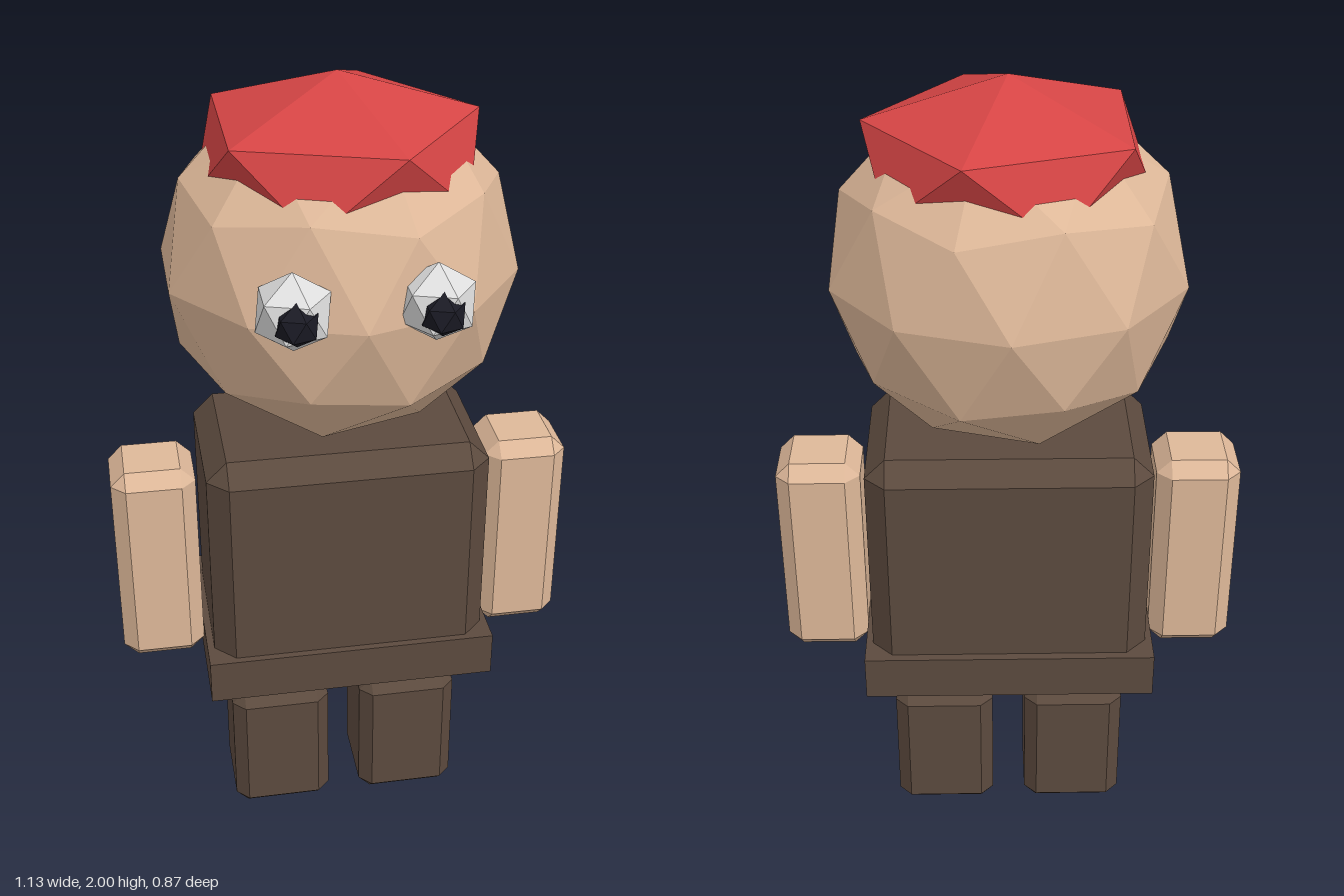
import * as THREE from 'three';
import { ConvexGeometry } from 'three/addons/geometries/ConvexGeometry.js';

const mat = (name, color) => {
  const m = new THREE.MeshStandardMaterial({ color, flatShading: true });
  m.name = name;
  return m;
};

// Box with single chamfers on all edges, centred on the origin
function chamferBox(w, h, d, c) {
  const points = [];
  const half = [w / 2, h / 2, d / 2];
  for (const sx of [-1, 1]) for (const sy of [-1, 1]) for (const sz of [-1, 1]) {
    for (let axis = 0; axis < 3; axis++) {
      const p = half.map((v, i) => (i === axis ? v : v - c));
      points.push(new THREE.Vector3(sx * p[0], sy * p[1], sz * p[2]));
    }
  }
  return new ConvexGeometry(points);
}

// Faceted ball with a corner at each pole and an upper-ring corner toward +x
function facetedBall(rx, ry, rz, detail = 0) {
  return new THREE.IcosahedronGeometry(1, detail)
    .rotateX(-Math.atan((1 + Math.sqrt(5)) / 2))
    .rotateY(Math.PI / 2)
    .scale(rx, ry, rz);
}

export function createModel() {
  const model = new THREE.Group();
  model.name = 'figure';
  const skin = mat('skin', 0xdeb899);
  const brown = mat('brown cloth', 0x5c4a3e);
  const red = mat('red cap', 0xd64545);
  const white = mat('eye white', 0xdedede);
  const black = mat('pupil black', 0x1a1a24);

  const add = (name, geometry, material, x, y, z) => {
    const mesh = new THREE.Mesh(geometry, material);
    mesh.name = name;
    mesh.position.set(x, y, z);
    model.add(mesh);
  };

  // Torso and belt
  add('torso', chamferBox(0.685, 0.68, 0.44, 0.05), brown, 0, 0.795, -0.027);
  add('belt', new THREE.BoxGeometry(0.72, 0.115, 0.48), brown, 0, 0.537, -0.029);

  // Head with a squashed cap sunk into its crown
  add('head', facetedBall(0.42, 0.418, 0.406, 1), skin, 0, 1.555, -0.033);
  add('cap', facetedBall(0.36, 0.181, 0.36), red, 0, 1.819, -0.03);

  // Mirrored limbs and eyes
  const arm = chamferBox(0.205, 0.545, 0.205, 0.035);
  const leg = chamferBox(0.255, 0.378, 0.255, 0.032);
  const eye = facetedBall(0.091, 0.091, 0.091);
  const pupil = facetedBall(0.051, 0.051, 0.051);
  for (const [side, s] of [['left', 1], ['right', -1]]) {
    add(side + 'Arm', arm, skin, s * 0.463, 0.793, -0.03);
    add(side + 'Leg', leg, brown, s * 0.17, 0.189, -0.027);
    add(side + 'Eye', eye, white, s * 0.155, 1.604, 0.332);
    add(side + 'Pupil', pupil, black, s * 0.155, 1.602, 0.39);
  }
  return model;
}
